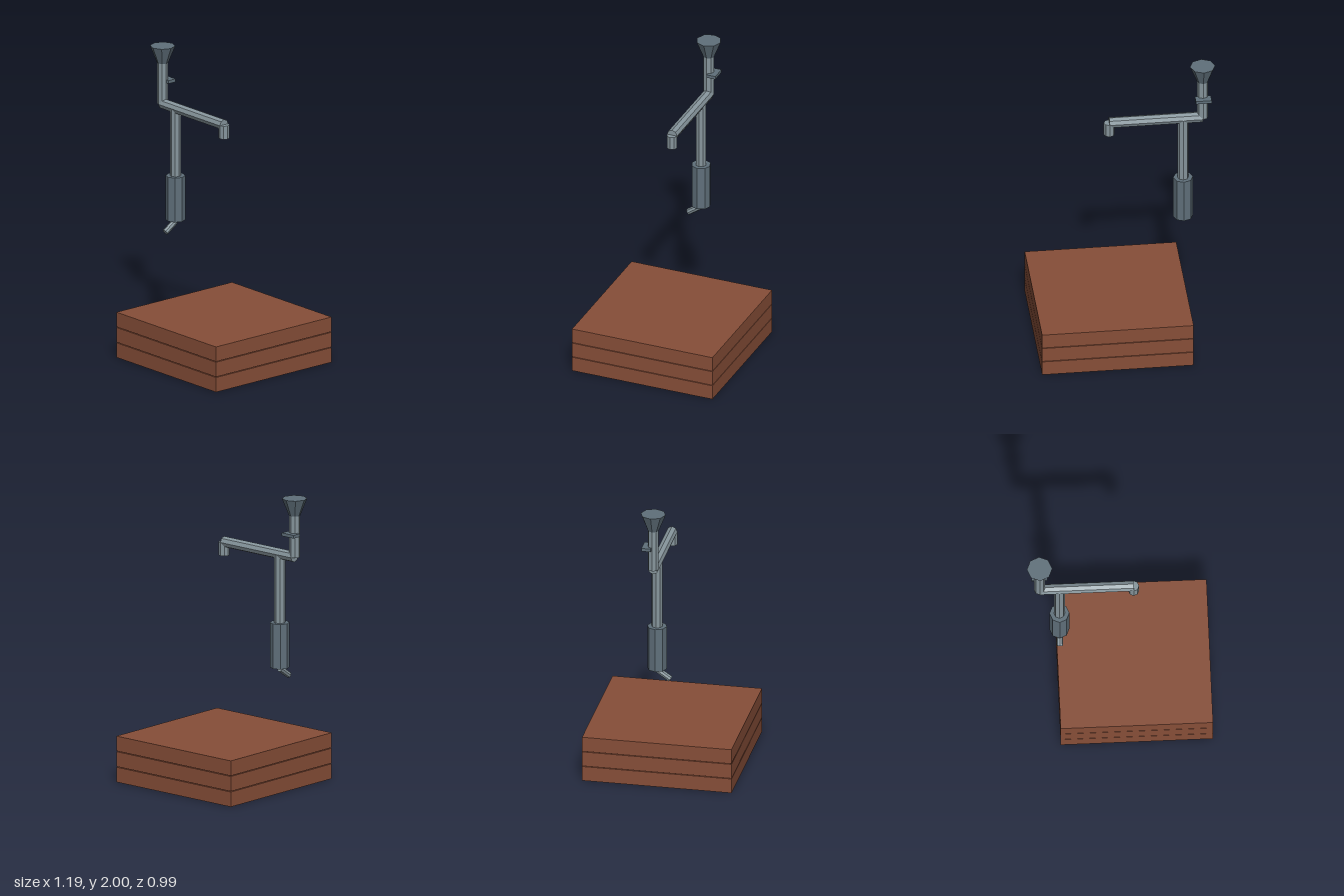
import * as THREE from 'three';

export function createModel() {
  const model = new THREE.Group();
  const material = (name, color) => {
    const m = new THREE.MeshStandardMaterial({ color, flatShading: true });
    m.name = name;
    return m;
  };
  const clay = material('clay brown', 0x874e38);
  const steel = material('light steel', 0x87969d);
  const darkSteel = material('dark steel', 0x60707b);

  const add = (name, geometry, mat, x, y, z = 0) => {
    const mesh = new THREE.Mesh(geometry, mat);
    mesh.name = name;
    mesh.position.set(x, y, z);
    model.add(mesh);
    return mesh;
  };
  // Eight-sided upright tube between two heights
  const tube = (name, mat, x, y0, y1, rBottom, rTop = rBottom) =>
    add(name, new THREE.CylinderGeometry(rTop, rBottom, y1 - y0, 8), mat, x, (y0 + y1) / 2);

  // Base: three stacked slabs with narrow gaps
  for (let i = 0; i < 3; i++) {
    add('slab' + (i + 1), new THREE.BoxGeometry(0.994, 0.1, 0.994), clay, 0.098, 0.05 + i * 0.1045);
  }

  // Funnel on its stem, with a small plate behind
  tube('funnel', darkSteel, -0.515, 1.885, 2, 0.037, 0.083);
  tube('funnelStem', steel, -0.515, 1.606, 1.885, 0.036);
  add('stemPlate', new THREE.BoxGeometry(0.104, 0.021, 0.062), darkSteel, -0.515, 1.761, -0.037);

  // Horizontal arm and down-turned spout
  const arm = add('arm', new THREE.CylinderGeometry(0.036, 0.036, 0.613, 8), steel, -0.2085, 1.606);
  arm.rotation.z = Math.PI / 2;
  tube('spout', steel, 0.098, 1.516, 1.606, 0.036);

  // Hanging pipe, grip and angled nozzle
  tube('hangingPipe', steel, -0.386, 1.14, 1.606, 0.036);
  tube('grip', darkSteel, -0.386, 0.843, 1.145, 0.065);
  const nozzle = add('nozzle', new THREE.CylinderGeometry(0.021, 0.021, 0.103, 8), steel, -0.386, 0.803, 0.046);
  nozzle.rotation.x = -0.97;

  return model;
}
